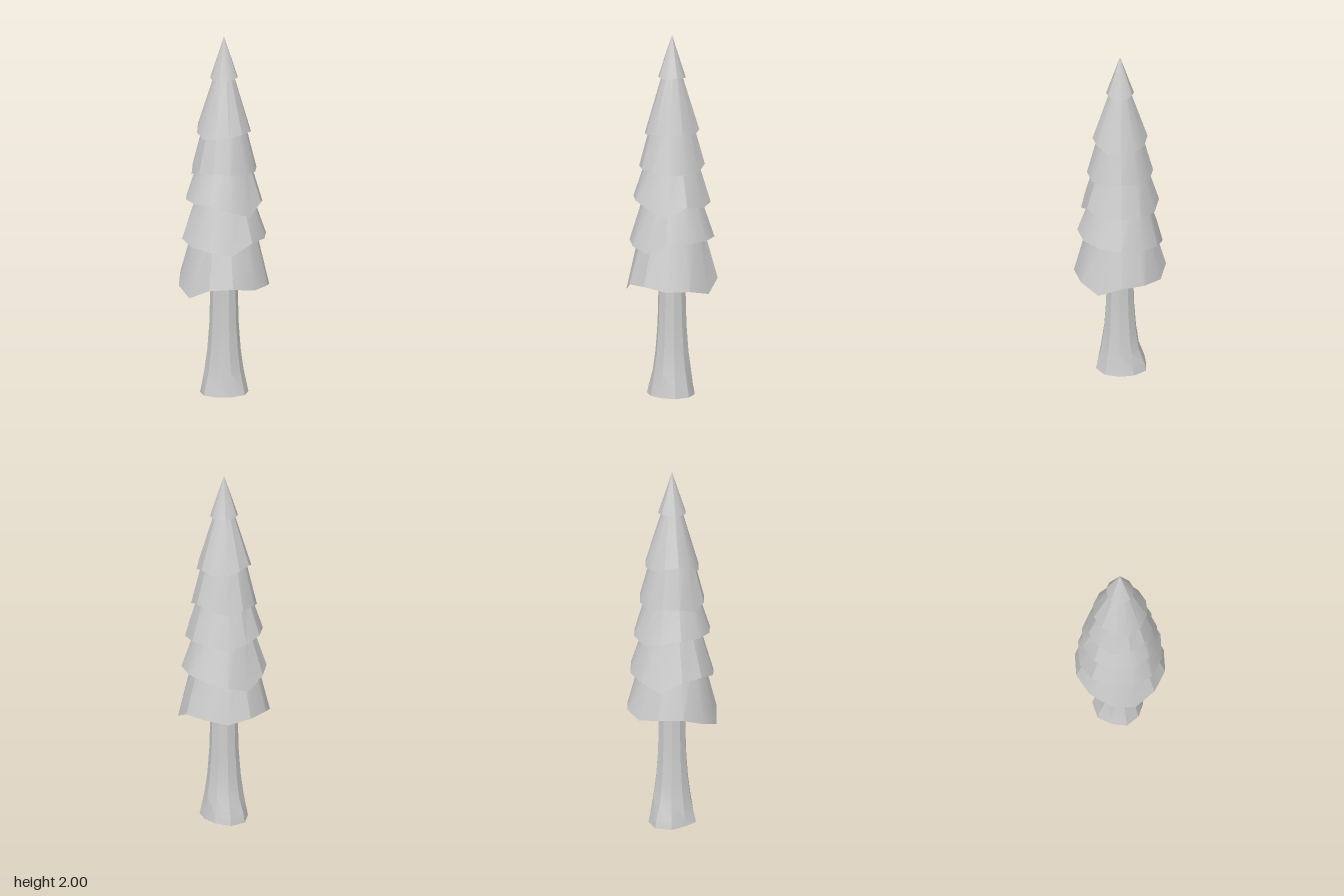
import * as THREE from 'three';
import { toCreasedNormals } from 'three/addons/utils/BufferGeometryUtils.js';

const SIDES = 12;
const CREASE = 0.52;
const material = new THREE.MeshStandardMaterial({ color: 0xcccccc, side: THREE.DoubleSide });

// Each skirt: rim radius, top radius, top height, and the ragged rim heights going round from the front.
const TIERS = [
  { rim: 0.248, top: 0.166, y: 0.95, hem: [0.64, 0.65, 0.63, 0.63, 0.6, 0.66, 0.66, 0.64, 0.66, 0.66, 0.62, 0.58] },
  { rim: 0.23, top: 0.14, y: 1.15, hem: [0.85, 0.83, 0.89, 0.89, 0.89, 0.89, 0.87, 0.85, 0.81, 0.87, 0.88, 0.86] },
  { rim: 0.21, top: 0.13, y: 1.34, hem: [1.1, 1.07, 1.03, 1.09, 1.07, 1.08, 1.08, 1.06, 1.08, 1.1, 1.1, 1.1] },
  { rim: 0.178, top: 0.105, y: 1.55, hem: [1.275, 1.27, 1.26, 1.26, 1.26, 1.29, 1.27, 1.25, 1.27, 1.27, 1.24, 1.27] },
  { rim: 0.148, top: 0.042, y: 1.82, hem: [1.46, 1.47, 1.48, 1.48, 1.46, 1.48, 1.47, 1.47, 1.49, 1.5, 1.47, 1.45] },
  { rim: 0.075, top: 0, y: 2, hem: [1.77, 1.765, 1.77, 1.775, 1.77, 1.765, 1.77, 1.775, 1.77, 1.775, 1.77, 1.765] },
];

function makeMesh(name, geometry) {
  const mesh = new THREE.Mesh(toCreasedNormals(geometry, CREASE), material);
  mesh.name = name;
  return mesh;
}

// Open cone whose lower ring follows the ragged hem
function foliageGeometry({ rim, top, y, hem }) {
  const geo = new THREE.CylinderGeometry(top, rim, 1, SIDES, 1, true, Math.PI / SIDES);
  const pos = geo.attributes.position;
  for (let i = 0; i < pos.count; i++) {
    const isTop = i <= SIDES;
    pos.setY(i, isTop ? y : hem[(i - SIDES - 1) % SIDES]);
  }
  return geo;
}

// Flared trunk with a closed foot and one root spreading outward
function trunkGeometry() {
  const profile = [
    [0, 0.012], [0.13, 0.012], [0.122, 0.05], [0.105, 0.14], [0.09, 0.25],
    [0.079, 0.4], [0.074, 0.6], [0.065, 1.0],
  ].map(([r, y]) => new THREE.Vector2(r, y));
  const geo = new THREE.LatheGeometry(profile, 10, Math.PI / 10);
  const pos = geo.attributes.position;
  const rootAngle = -0.58 * Math.PI;
  for (let i = 0; i < pos.count; i++) {
    const x = pos.getX(i), y = pos.getY(i), z = pos.getZ(i);
    const r = Math.hypot(x, z);
    if (r < 0.1 || y > 0.1) continue;
    const angle = Math.atan2(x, z);
    const toRoot = Math.max(0, Math.cos(angle - rootAngle));
    const spread = 1 + 0.2 * toRoot ** 8 + 0.05 * Math.cos(angle * 3 + 1);
    pos.setXYZ(i, x * spread, y - (y < 0.02 ? 0.012 * toRoot ** 4 : 0), z * spread);
  }
  return geo;
}

export function createModel() {
  const tree = new THREE.Group();
  tree.name = 'coniferTree';
  tree.add(makeMesh('trunk', trunkGeometry()));

  const foliage = new THREE.Group();
  foliage.name = 'foliage';
  TIERS.forEach((tier, i) => foliage.add(makeMesh(`foliageTier${i + 1}`, foliageGeometry(tier))));
  tree.add(foliage);
  return tree;
}
